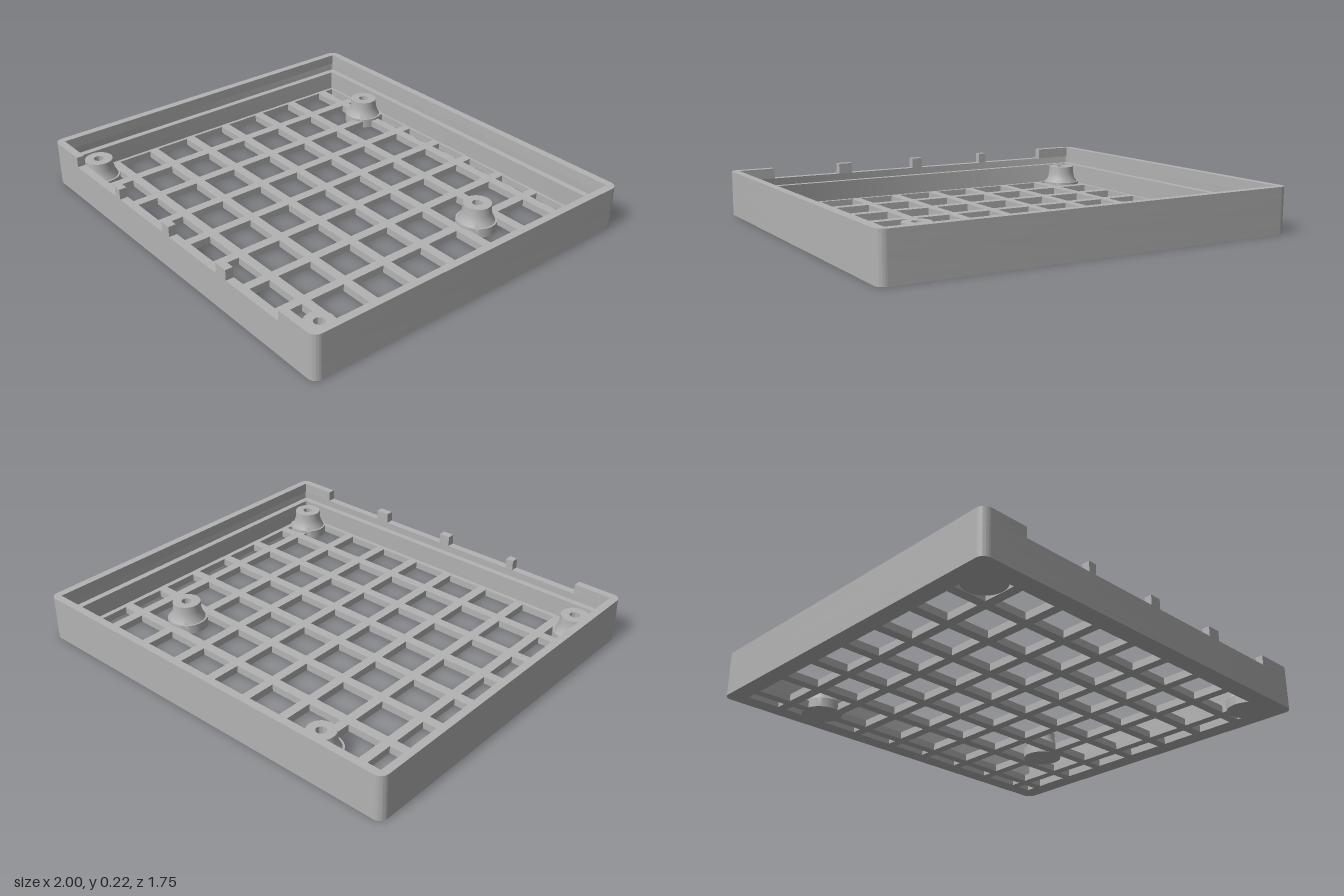
import * as THREE from 'three';
import { toCreasedNormals } from 'three/addons/utils/BufferGeometryUtils.js';

const W = 1, D = 0.875, R = 0.04;              // half width, half depth, corner radius
const FLOOR = 0.035, LEDGE = 0.13, SILL = 0.165, TOP = 0.215;
const LIP = 0.037, WALL = 0.068;               // thickness of upper lip and lower wall

// Rounded rectangle traced counter-clockwise
function roundedRect(path, w, d, r) {
  path.moveTo(-w + r, -d);
  path.lineTo(w - r, -d);
  path.absarc(w - r, -d + r, r, -Math.PI / 2, 0);
  path.absarc(w - r, d - r, r, 0, Math.PI / 2);
  path.absarc(-w + r, d - r, r, Math.PI / 2, Math.PI);
  path.absarc(-w + r, -d + r, r, Math.PI, Math.PI * 1.5);
  return path;
}

function rectHole(x0, x1, y0, y1) {
  return new THREE.Path([[x0, y0], [x0, y1], [x1, y1], [x1, y0]].map(p => new THREE.Vector2(...p)));
}

// Extrude a plan shape (shape y = -z) between two heights
function slab(shape, y0, y1) {
  const g = new THREE.ExtrudeGeometry(shape, { depth: y1 - y0, bevelEnabled: false, curveSegments: 8 });
  g.rotateX(-Math.PI / 2).translate(0, y0, 0);
  return toCreasedNormals(g, 0.6);
}

function ring(thickness, r) {
  const s = roundedRect(new THREE.Shape(), W, D, R);
  s.holes.push(roundedRect(new THREE.Path(), W - thickness, D - thickness, r));
  return s;
}

// Open spans between evenly spaced bars
function spans(start, end, firstBar, pitch, count) {
  const half = 0.023, out = [];
  let a = start;
  for (let i = 0; i < count; i++) {
    const c = firstBar + i * pitch;
    out.push([a, c - half]);
    a = c + half;
  }
  out.push([a, end]);
  return out;
}

export function createModel() {
  const group = new THREE.Group();
  const grey = new THREE.MeshStandardMaterial({ color: 0xb3b3b3 });
  grey.name = 'grey plastic';
  const add = (name, geometry, x = 0, y = 0, z = 0) => {
    const m = new THREE.Mesh(geometry, grey);
    m.name = name;
    m.position.set(x, y, z);
    group.add(m);
  };

  // Grid floor
  const floor = roundedRect(new THREE.Shape(), W, D, R);
  for (const [x0, x1] of spans(-0.915, 0.907, -0.733, 0.2205, 8))
    for (const [z0, z1] of spans(-0.794, 0.785, -0.722, 0.221, 7))
      floor.holes.push(rectHole(x0, x1, -z1, -z0));
  add('gridFloor', slab(floor, 0, FLOOR));

  // Thick lower wall with a ledge, then the thinner lip
  add('lowerWall', slab(ring(WALL, 0.008), FLOOR, LEDGE));
  add('lip', slab(ring(LIP, 0.012), LEDGE, SILL));

  // Top of the lip, open along the front
  const left = -0.775, right = 0.785, w = W - LIP, d = D - LIP;
  const rim = new THREE.Shape();
  rim.moveTo(right, -D);
  rim.lineTo(W - R, -D);
  rim.absarc(W - R, -D + R, R, -Math.PI / 2, 0);
  rim.absarc(W - R, D - R, R, 0, Math.PI / 2);
  rim.absarc(-W + R, D - R, R, Math.PI / 2, Math.PI);
  rim.absarc(-W + R, -D + R, R, Math.PI, Math.PI * 1.5);
  rim.lineTo(left, -D);
  for (const [x, y] of [[left, -d], [-w, -d], [-w, d], [w, d], [w, -d], [right, -d]]) rim.lineTo(x, y);
  add('upperRim', slab(rim, SILL, TOP));

  // Small tabs between the front notches
  for (const [x0, x1] of [[-0.425, -0.385], [-0.035, 0.022], [0.37, 0.44]])
    add('frontTab', new THREE.BoxGeometry(x1 - x0, TOP - SILL, LIP),
      (x0 + x1) / 2, (SILL + TOP) / 2, D - LIP / 2);

  // Flared screw posts with a blind hole
  const profile = [[0, 0], [0.095, 0], [0.095, 0.045], [0.086, 0.045], [0.075, 0.065], [0.068, 0.09],
    [0.066, LEDGE - 0.001], [0.024, LEDGE - 0.001], [0.024, 0.05], [0, 0.05]];
  const post = toCreasedNormals(
    new THREE.LatheGeometry(profile.map(p => new THREE.Vector2(...p)), 40), 0.6);
  for (const [x, z] of [[-0.56, -0.72], [0.605, -0.39], [-0.853, 0.725], [0.845, 0.725]])
    add('screwPost', post, x, 0, z);

  return group;
}
